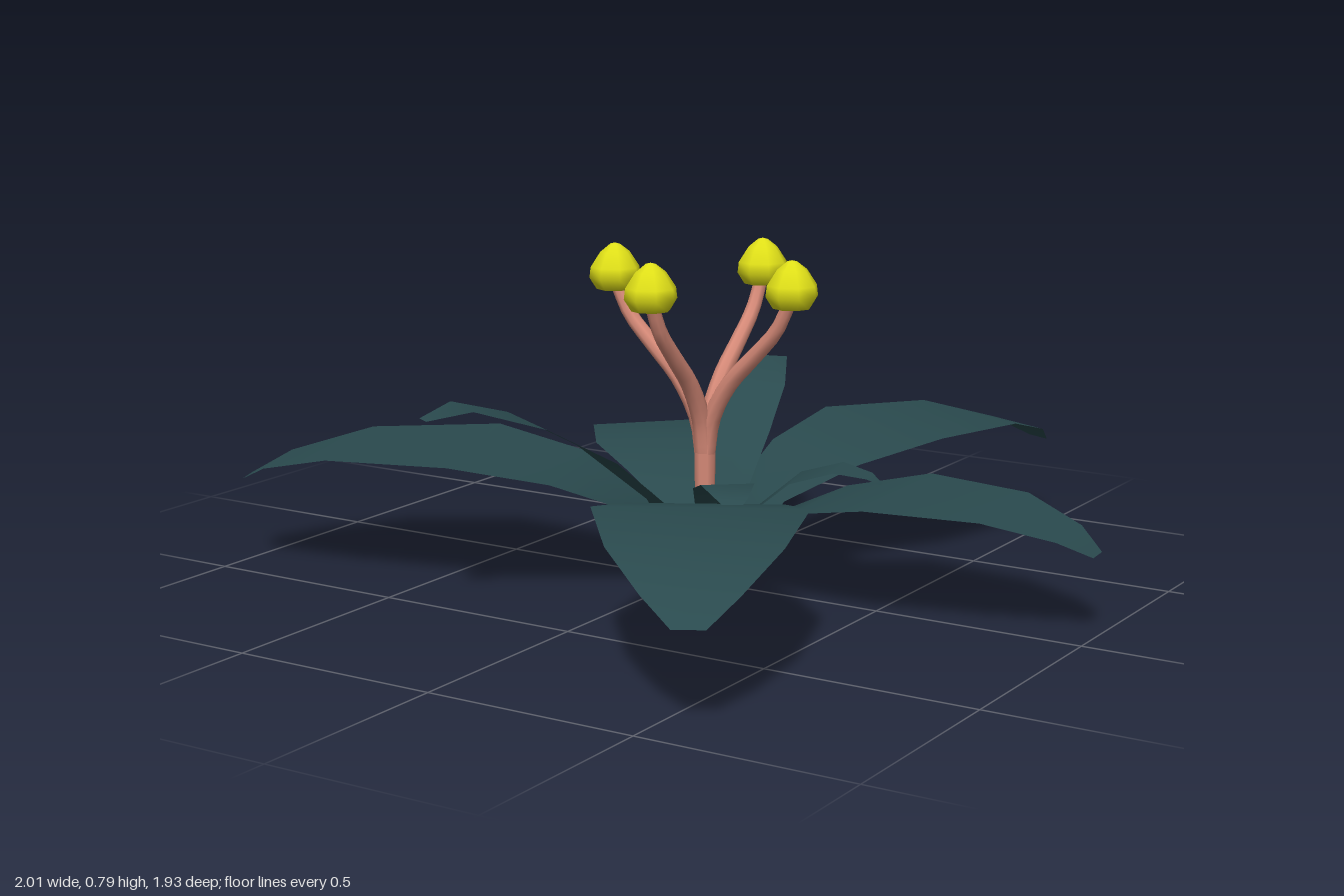
import * as THREE from 'three';

const STEM_X = 0.045; // axis of the stem
const LEAF_X = 0.06;  // centre of the leaf rosette

// Rows along a leaf: [distance, height, half width]; distance is a share of the length
const BROAD = [[0.03, 0, 0.022], [0.14, 0.19, 0.1], [0.3, 0.268, 0.178], [0.5, 0.313, 0.236],
  [0.77, 0.305, 0.183], [0.93, 0.257, 0.1], [1, 0.212, 0.035]];
const YOUNG = [[0.04, 0, 0.02], [0.18, 0.2, 0.075], [0.41, 0.34, 0.108], [0.65, 0.435, 0.108],
  [0.87, 0.483, 0.065], [1, 0.462, 0.02]];
const INNER = [[0.06, 0, 0.016], [0.25, 0.18, 0.045], [0.5, 0.265, 0.065], [0.75, 0.295, 0.06],
  [0.93, 0.28, 0.035], [1, 0.262, 0.012]];

// Open leaf blade: rows of three points that follow the arching midrib to the tip
function leafGeometry(rows, tipX, tipZ, hScale, wScale) {
  const dx = tipX - LEAF_X, dz = tipZ;
  const length = Math.hypot(dx, dz);
  const ux = dx / length, uz = dz / length;
  const pos = [], index = [];
  rows.forEach(([t, h, w], i) => {
    for (const side of [-1, 0, 1]) {
      const s = t * length, lat = side * w * wScale;
      pos.push(LEAF_X + ux * s - uz * lat, h * hScale, uz * s + ux * lat);
    }
    if (i === 0) return;
    for (let j = 0; j < 2; j++) {
      const a = (i - 1) * 3 + j, b = a + 1, c = a + 3, d = a + 4;
      index.push(a, b, c, b, d, c);
    }
  });
  const g = new THREE.BufferGeometry();
  g.setAttribute('position', new THREE.Float32BufferAttribute(pos, 3));
  g.setIndex(index);
  g.computeVertexNormals();
  return g;
}

// Tube whose radius tapers linearly from start to end
function taperedTube(points, r0, r1, segments) {
  const curve = new THREE.CatmullRomCurve3(points);
  const sides = 8;
  const g = new THREE.TubeGeometry(curve, segments, 1, sides, false);
  const p = g.attributes.position, v = new THREE.Vector3();
  for (let i = 0; i <= segments; i++) {
    const c = curve.getPointAt(i / segments);
    const r = r0 + (r1 - r0) * i / segments;
    for (let j = 0; j <= sides; j++) {
      const k = i * (sides + 1) + j;
      v.fromBufferAttribute(p, k).sub(c).multiplyScalar(r).add(c);
      p.setXYZ(k, v.x, v.y, v.z);
    }
  }
  return g;
}

export function createModel() {
  const model = new THREE.Group();
  model.name = 'floweringPlant';
  const leafMat = new THREE.MeshStandardMaterial({ color: 0x2a4a4e, side: THREE.DoubleSide });
  const stemMat = new THREE.MeshStandardMaterial({ color: 0xd68a78 });
  const budMat = new THREE.MeshStandardMaterial({ color: 0xe0e018 });

  const add = (name, geometry, material) => {
    const mesh = new THREE.Mesh(geometry, material);
    mesh.name = name;
    model.add(mesh);
    return mesh;
  };

  // Broad outer leaves: tip x, tip z, overall scale
  const broadLeaves = [[0.455, -0.955, 1.02, 0.94], [0.997, -0.08, 0.87, 0.85], [0.595, 0.95, 1.02, 0.99],
    [-0.995, 0.415, 0.98, 1.02], [-0.56, -0.605, 0.8, 0.77]];
  for (const [x, z, h, w] of broadLeaves) add('broadLeaf', leafGeometry(BROAD, x, z, h, w), leafMat);

  // Narrow upright leaves
  add('uprightLeaf', leafGeometry(YOUNG, -0.3, 0.615, 1, 1), leafMat);
  add('uprightLeaf', leafGeometry(YOUNG, -0.09, -0.565, 0.93, 0.7), leafMat);

  // Small inner leaves
  add('innerLeaf', leafGeometry(INNER, 0.445, -0.12, 1, 1), leafMat);
  add('innerLeaf', leafGeometry(INNER, 0.31, 0.31, 1.05, 1), leafMat);

  // Main stem
  add('stem', taperedTube([
    new THREE.Vector3(STEM_X, 0, 0), new THREE.Vector3(STEM_X, 0.2, 0), new THREE.Vector3(STEM_X, 0.39, 0),
  ], 0.02, 0.027, 6), stemMat);

  // Four curved branches, each carrying a bud
  const budProfile = [[0, 0], [0.044, 0.003], [0.061, 0.03], [0.058, 0.055], [0.035, 0.09], [0.012, 0.108], [0, 0.111]]
    .map(([r, y]) => new THREE.Vector2(r, y));
  const budGeometry = new THREE.LatheGeometry(budProfile, 8);
  const branchShape = [[0, 0.3], [0.07, 0.39], [0.28, 0.48], [0.58, 0.555], [0.83, 0.62], [0.98, 0.69]];
  for (const [x, z] of [[0.285, 0.02], [-0.2, 0.005], [0.053, -0.245], [0.037, 0.218]]) {
    const points = branchShape.map(([t, y]) => new THREE.Vector3(STEM_X + (x - STEM_X) * t, y, z * t));
    add('branch', taperedTube(points, 0.024, 0.016, 14), stemMat);
    add('bud', budGeometry, budMat).position.set(x, 0.674, z);
  }
  return model;
}
